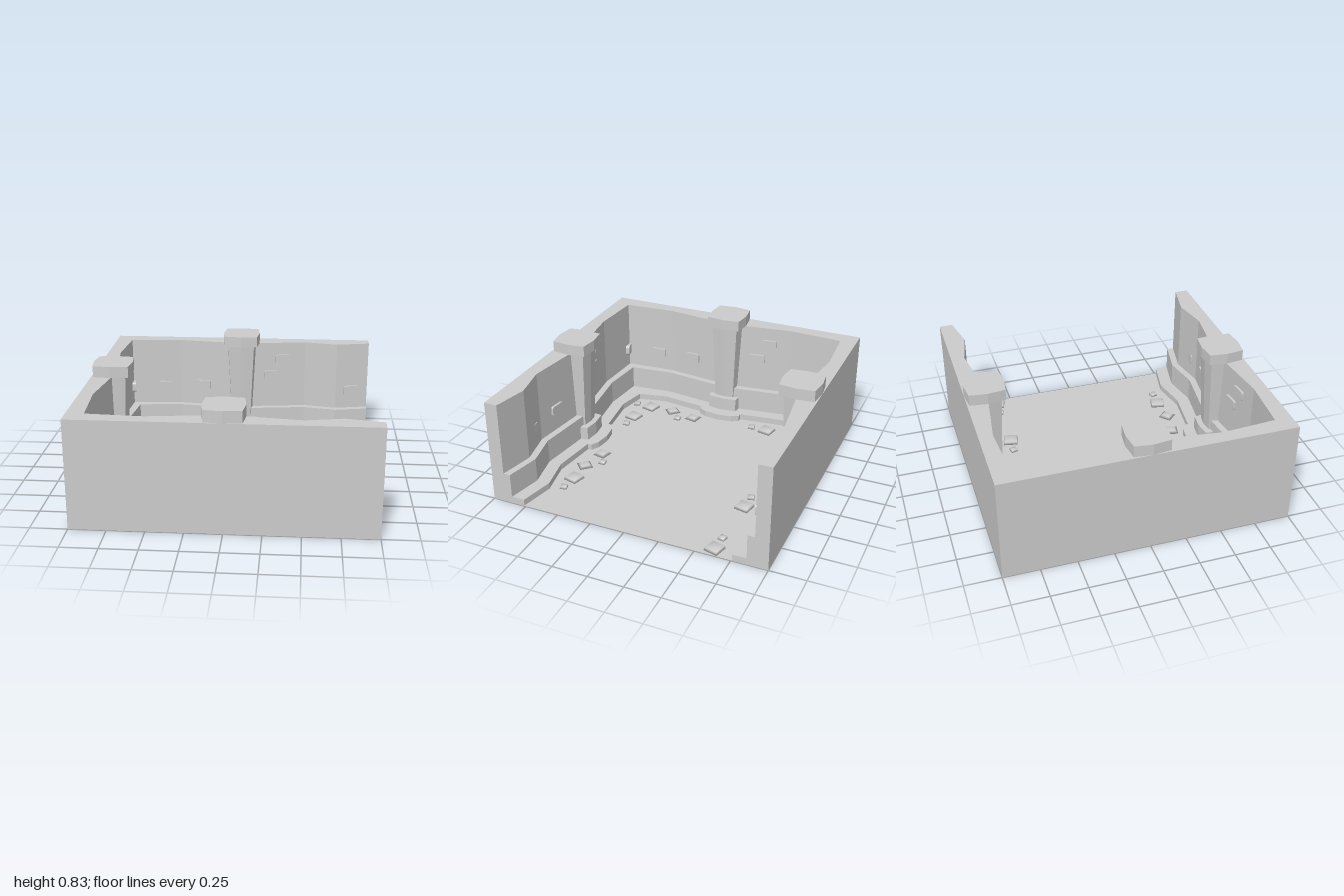
import * as THREE from 'three';
import { mergeVertices } from 'three/addons/utils/BufferGeometryUtils.js';

const mat = new THREE.MeshStandardMaterial({ color: 0xcccccc });
const WALL = [[1, 0.905], [0.75, 0.855], [0.5, 0.905], [0, 0.84], [-0.5, 0.905], [-0.88, 0.88]];

function add(parent, geo, name) {
  const m = new THREE.Mesh(geo, mat);
  m.name = name;
  parent.add(m);
  return m;
}

// Quarter turns carry the back wall's plan to the left and front walls
const turn = (s, r, k) => k === 0 ? [s, -r] : k === 1 ? [-r, -s] : [-s, r];

// U-shaped slab whose wavy inner edge stands further in by "inset"
function wallTier(inset, y0, y1, bumps) {
  const pts = [[1, -1]];
  for (let k = 0; k < 3; k++) {
    const put = (s, r) => pts.push(turn(s, r, k));
    if (k === 0) {
      put(1, 0.905 - inset);
      put(0.75, 0.855 - inset);
    }
    put(0.5, 0.905 - inset);
    if (bumps) {
      // plinth swelling round the pillar foot
      [[0.165, 0.72], [0.165, 0.69], [0.11, 0.66], [0, 0.645], [-0.11, 0.66], [-0.165, 0.69], [-0.165, 0.72]]
        .forEach(([s, r]) => put(s, r));
    } else put(0, 0.84 - inset);
    put(-0.5, 0.905 - inset);
    const c = 0.88 - inset * 1.13;
    if (k < 2) put(-c, c);
    else {
      put(-0.75, 0.855 - inset);
      put(-1, 0.905 - inset);
    }
  }
  pts.push([1, 1], [-1, 1], [-1, -1]);
  const shape = new THREE.Shape(pts.map(([x, z]) => new THREE.Vector2(x, -z)));
  const g = new THREE.ExtrudeGeometry(shape, { depth: y1 - y0, bevelEnabled: false });
  return g.rotateX(-Math.PI / 2).translate(0, y0, 0);
}

// Faceted block: square with slightly bowed sides, tapering from r0 to r1
function bowedBlock(r0, r1, y0, y1) {
  const g = new THREE.CylinderGeometry(1, 1, y1 - y0, 8, 1).toNonIndexed();
  const p = g.attributes.position;
  for (let i = 0; i < p.count; i++) {
    const x = p.getX(i), z = p.getZ(i);
    const r = p.getY(i) > 0 ? r1 : r0;
    const corner = Math.abs(x) > 0.5 && Math.abs(z) > 0.5;
    const f = corner ? r * 0.89 * Math.SQRT2 : r;
    p.setXYZ(i, x * f, p.getY(i) + (y0 + y1) / 2, z * f);
  }
  g.computeVertexNormals();
  return g;
}

// Thin rounded brick facing +z
function brickGeometry(w, h, d) {
  const s = new THREE.Shape(), r = 0.018, a = w / 2, b = h / 2;
  s.moveTo(-a + r, -b);
  s.lineTo(a - r, -b).quadraticCurveTo(a, -b, a, -b + r);
  s.lineTo(a, b - r).quadraticCurveTo(a, b, a - r, b);
  s.lineTo(-a + r, b).quadraticCurveTo(-a, b, -a, b - r);
  s.lineTo(-a, -b + r).quadraticCurveTo(-a, -b, -a + r, -b);
  return new THREE.ExtrudeGeometry(s, { depth: d, bevelEnabled: false, curveSegments: 3 });
}

// Four-sided pebble with softened shading
function pebbleGeometry(half, top, h) {
  const g = new THREE.CylinderGeometry(top * Math.SQRT2, half * Math.SQRT2, h, 4, 1);
  g.rotateY(Math.PI / 4).translate(0, h / 2, 0);
  g.deleteAttribute('normal');
  g.deleteAttribute('uv');
  const m = mergeVertices(g, 1e-4);
  m.computeVertexNormals();
  return m;
}

// Distance and slope of the wall face at position s
function wallAt(s) {
  for (let i = 0; i < WALL.length - 1; i++) {
    const [a, ra] = WALL[i], [b, rb] = WALL[i + 1];
    if (s <= a && s >= b) {
      const slope = (ra - rb) / (a - b);
      return { r: ra + (s - a) * slope, slope };
    }
  }
  return { r: 0.88, slope: 0 };
}

export function createModel() {
  const model = new THREE.Group();
  model.name = 'walledRoom';

  add(model, new THREE.BoxGeometry(2, 0.004, 2).translate(0, 0.002, 0), 'floor');

  // Walls stacked in three tiers
  add(model, wallTier(0.145, 0, 0.05, true), 'wallStep');
  add(model, wallTier(0.05, 0.05, 0.225, false), 'wallLedge');
  add(model, wallTier(0, 0.225, 0.75, false), 'upperWall');

  const brick = brickGeometry(0.12, 0.075, 0.03);
  const bricks = [[-0.62, 0.37], [-0.31, 0.39], [0.235, 0.485], [0.325, 0.615], [0.87, 0.37]];
  // position along wall, distance from centre, kind, turn
  const pebbles = [
    [-0.695, 0.625, 'small', 0.25], [-0.565, 0.615, 'large', -0.25], [-0.38, 0.63, 'flat', 0.75],
    [-0.295, 0.53, 'small', 0], [-0.185, 0.59, 'flat', -0.2], [0.295, 0.63, 'small', 0.25],
    [0.42, 0.625, 'large', -0.2], [0.81, 0.62, 'small', -0.2], [0.935, 0.615, 'large', -0.25],
  ];
  const kinds = {
    small: pebbleGeometry(0.025, 0.021, 0.018),
    large: pebbleGeometry(0.052, 0.046, 0.022),
    flat: pebbleGeometry(0.05, 0.03, 0.016),
  };

  ['back', 'left', 'front'].forEach((side, k) => {
    const group = new THREE.Group();
    group.name = side + 'WallDetails';
    group.rotation.y = k * Math.PI / 2;
    model.add(group);

    // Pillar
    const pillar = new THREE.Group();
    pillar.name = 'pillar';
    pillar.position.z = -0.86;
    add(pillar, bowedBlock(0.125, 0.125, 0, 0.15), 'pillarBase');
    add(pillar, bowedBlock(0.082, 0.112, 0.15, 0.75), 'pillarShaft');
    add(pillar, bowedBlock(0.14, 0.14, 0.75, 0.83), 'pillarCap');
    group.add(pillar);

    // Raised bricks set along the slanting wall face
    for (const [s, y] of bricks) {
      const { r, slope } = wallAt(s);
      const m = add(group, brick, 'wallBrick');
      m.position.set(s, y, -r - 0.014);
      m.rotation.y = Math.atan(slope);
    }

    // Loose stones, skipping those buried under the neighbouring wall
    for (const [s, r, kind, a] of pebbles) {
      if (k > 0 && s > 0.75) continue;
      const m = add(group, kinds[kind], 'floorStone');
      m.position.set(s, 0.003, -r);
      m.rotation.y = a;
    }
  });

  return model;
}
